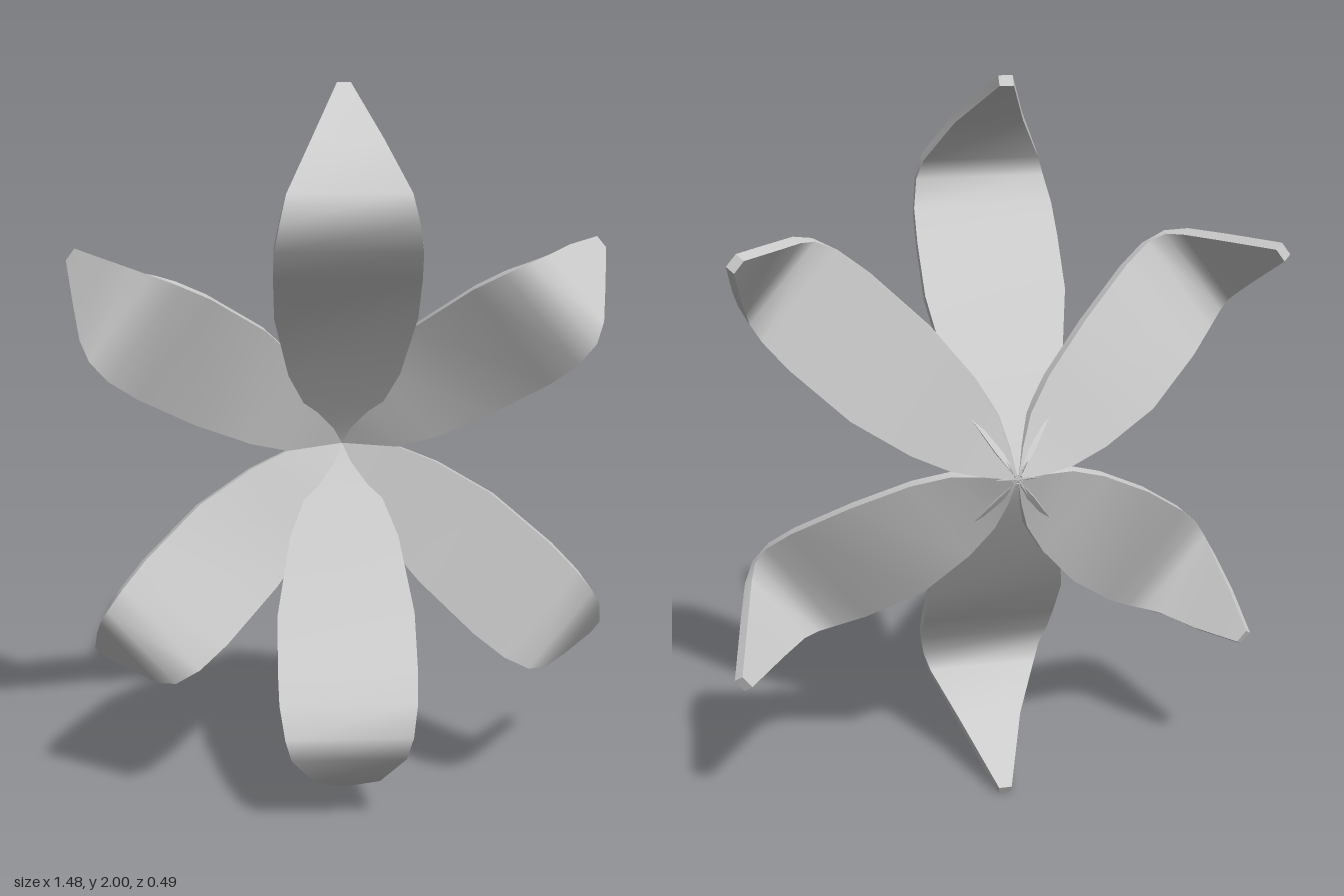
import * as THREE from 'three';
import { mergeGeometries } from 'three/addons/utils/BufferGeometryUtils.js';

const material = new THREE.MeshStandardMaterial({ color: 0xcccccc });
const THICKNESS = 0.028;

// Petal sections: [distance from centre, half width, front z]
const longPetal = [
  [0, 0.01, -0.215], [0.05, 0.05, -0.19], [0.13, 0.105, -0.14], [0.23, 0.15, -0.075],
  [0.41, 0.187, 0.045], [0.53, 0.189, 0.14], [0.61, 0.186, 0.2], [0.69, 0.172, 0.245],
  [0.76, 0.155, 0.228], [0.88, 0.09, 0.118], [1, 0.018, -0.09],
];
const sidePetal = (tip, tipZ) => [
  [0, 0.01, -0.215], [0.05, 0.05, -0.19], [0.12, 0.095, -0.155], [0.22, 0.13, -0.115],
  [0.38, 0.16, -0.05], [0.56, 0.164, 0.065], [0.65, 0.155, 0.122], [0.72, 0.138, 0.135],
  [0.77, 0.115, 0.095], [0.83, 0.075, -0.01], [tip, 0.02, tipZ],
];

// Strip of quads between two rails, smooth along its length
function ribbon(a, b) {
  const positions = [];
  const index = [];
  a.forEach((p, i) => {
    positions.push(...p, ...b[i]);
    if (i) {
      const k = 2 * i;
      index.push(k - 2, k - 1, k + 1, k - 2, k + 1, k);
    }
  });
  const g = new THREE.BufferGeometry();
  g.setAttribute('position', new THREE.Float32BufferAttribute(positions, 3));
  g.setIndex(index);
  g.computeVertexNormals();
  return g;
}

// Bent slab with sharp rims, pointing along +y and facing +z
function petalGeometry(sections) {
  const fl = [], fr = [], bl = [], br = [];
  sections.forEach(([u, w, z], i) => {
    const p = sections[Math.max(i - 1, 0)];
    const n = sections[Math.min(i + 1, sections.length - 1)];
    const du = n[0] - p[0], dz = n[2] - p[2];
    const s = THICKNESS / Math.hypot(du, dz);
    const bu = u + dz * s, bz = z - du * s;
    fl.push([-w, u, z]);
    fr.push([w, u, z]);
    bl.push([-w, bu, bz]);
    br.push([w, bu, bz]);
  });
  const e = sections.length - 1;
  return mergeGeometries([
    ribbon(fl, fr), ribbon(br, bl), ribbon(fr, br), ribbon(bl, fl),
    ribbon([fl[e], bl[e]], [fr[e], br[e]]),
    ribbon([bl[0], fl[0]], [br[0], fr[0]]),
  ]);
}

export function createModel() {
  const group = new THREE.Group();
  const flower = new THREE.Group();
  flower.name = 'flower';
  flower.position.y = 1;
  group.add(flower);

  // Three petal shapes, each used twice on opposite sides
  const shapes = [
    ['longPetal', longPetal, 90],
    ['sidePetalA', sidePetal(0.91, -0.16), 143],
    ['sidePetalB', sidePetal(0.9, -0.115), 40],
  ];
  for (const [name, sections, angle] of shapes) {
    const geometry = petalGeometry(sections);
    for (const half of [0, 180]) {
      const petal = new THREE.Mesh(geometry, material);
      petal.name = name;
      petal.rotation.z = THREE.MathUtils.degToRad(angle + half - 90);
      flower.add(petal);
    }
  }

  // Small star of thin spikes behind the centre
  const spike = new THREE.ConeGeometry(0.007, 0.06, 4).translate(0, 0.03, 0);
  for (let i = 0; i < 6; i++) {
    const mesh = new THREE.Mesh(spike, material);
    mesh.name = 'centreSpike';
    mesh.position.z = -0.236;
    mesh.rotation.z = (i + 0.5) * Math.PI / 3;
    flower.add(mesh);
  }
  return group;
}
